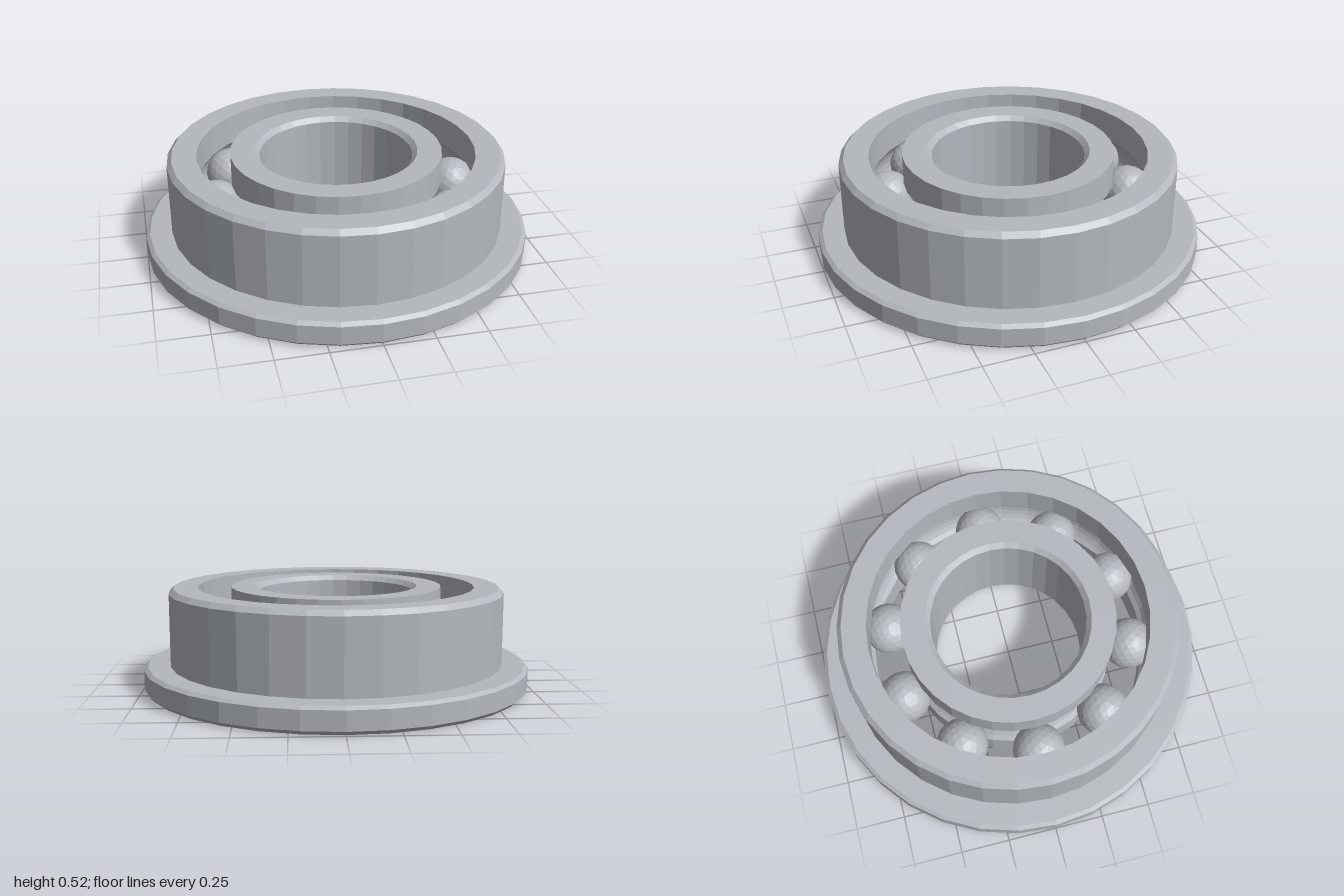
import * as THREE from 'three';

const HEIGHT = 0.525, MID = HEIGHT / 2;
const PITCH = 0.63;        // radius of the circle of ball centres
const BALL_RADIUS = 0.133;
const BALLS = 10, SIDES = 32;

// Arc of the ball groove cut into a race wall; side is +1 outward, -1 inward
function groove(wallRadius, side) {
  const r = BALL_RADIUS + 0.002;
  const half = Math.acos(Math.abs(wallRadius - PITCH) / r);
  const points = [];
  for (let i = 0; i <= 8; i++) {
    const a = half * (1 - i / 4);
    points.push([PITCH + side * r * Math.cos(a), MID + side * r * Math.sin(a)]);
  }
  return points;
}

// Closed ring turned from a counter-clockwise [radius, height] profile
function ring(name, profile, material) {
  const points = [...profile, profile[0]].map(([r, y]) => new THREE.Vector2(r, y));
  const mesh = new THREE.Mesh(new THREE.LatheGeometry(points, SIDES), material);
  mesh.name = name;
  return mesh;
}

export function createModel() {
  const model = new THREE.Group();
  model.name = 'flangedBallBearing';
  const steel = new THREE.MeshStandardMaterial({ color: 0xb4b8be, flatShading: true });
  steel.name = 'steel';

  // Outer ring with bottom flange, chamfered rims and inside groove
  model.add(ring('outerRing', [
    [0.715, 0], [0.98, 0], [1, 0.02], [1, 0.115], [0.98, 0.13],
    [0.866, 0.13], [0.866, 0.5], [0.842, HEIGHT], [0.715, HEIGHT],
    ...groove(0.715, 1),
  ], steel));

  // Inner ring with outside groove and chamfered bore
  model.add(ring('innerRing', [
    [0.545, 0], ...groove(0.545, -1), [0.545, HEIGHT],
    [0.42, HEIGHT], [0.395, HEIGHT - 0.025], [0.395, 0.025], [0.42, 0],
  ], steel));

  // Balls evenly spaced between the rings
  const balls = new THREE.Group();
  balls.name = 'balls';
  const ballGeometry = new THREE.IcosahedronGeometry(BALL_RADIUS, 3);
  for (let i = 0; i < BALLS; i++) {
    const a = (i / BALLS) * Math.PI * 2;
    const ball = new THREE.Mesh(ballGeometry, steel);
    ball.name = 'ball';
    ball.position.set(PITCH * Math.cos(a), MID, PITCH * Math.sin(a));
    balls.add(ball);
  }
  model.add(balls);
  return model;
}
